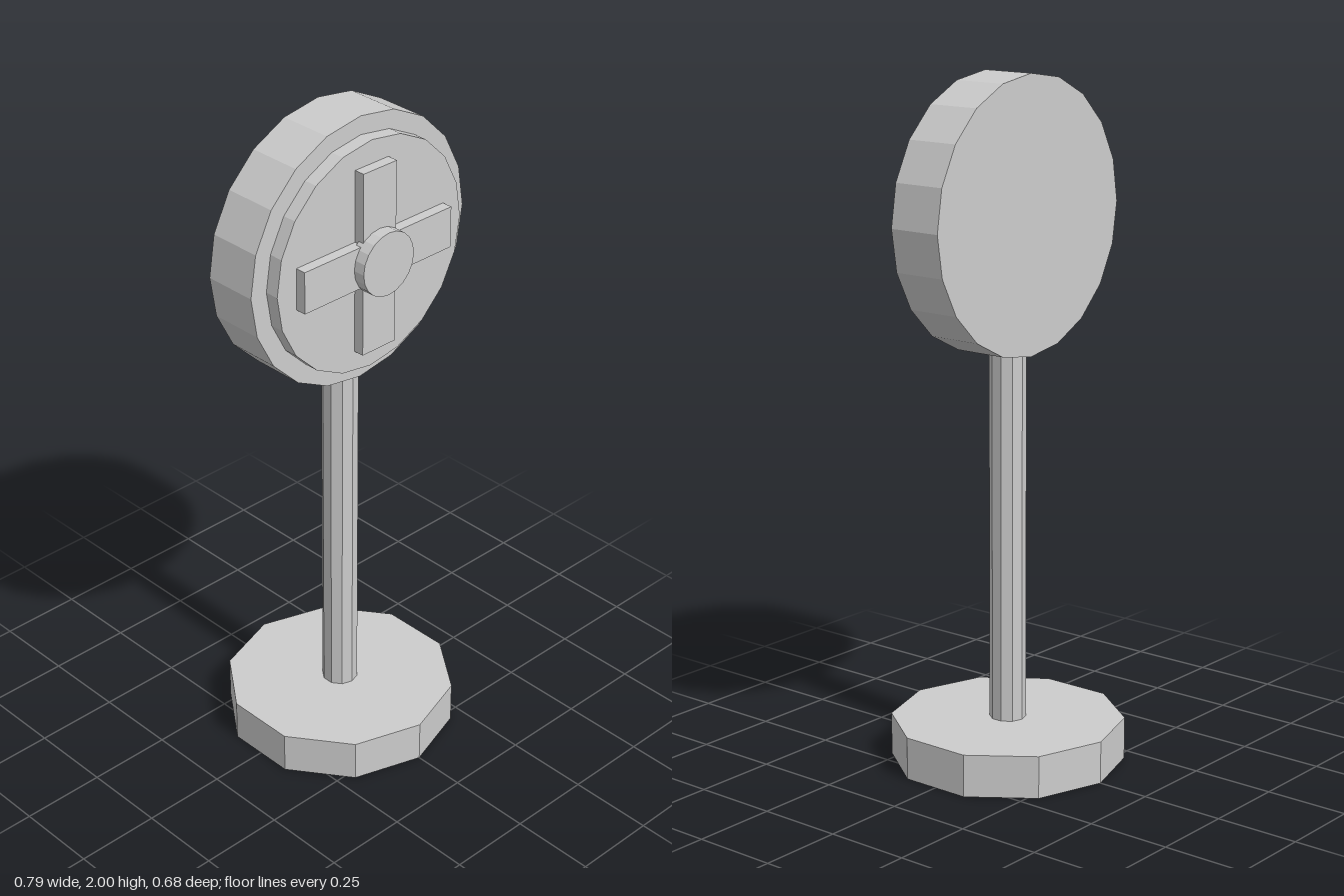
import * as THREE from 'three';

export function createModel() {
  const model = new THREE.Group();
  const grey = new THREE.MeshStandardMaterial({ color: 0xcccccc, flatShading: true });
  grey.name = 'light grey';
  const headY = 1.605;

  function add(name, geometry) {
    const mesh = new THREE.Mesh(geometry, grey);
    mesh.name = name;
    model.add(mesh);
  }

  // upright prism between two heights
  function post(name, radius, y0, y1) {
    add(name, new THREE.CylinderGeometry(radius, radius, y1 - y0, 10).translate(0, (y0 + y1) / 2, 0));
  }

  // disc facing the front, between two depths
  function disc(name, radius, z0, z1) {
    add(name, new THREE.CylinderGeometry(radius, radius, z1 - z0, 20)
      .rotateX(Math.PI / 2).translate(0, headY, (z0 + z1) / 2));
  }

  // bar on the face, between two depths
  function bar(name, width, height, z0, z1) {
    add(name, new THREE.BoxGeometry(width, height, z1 - z0).translate(0, headY, (z0 + z1) / 2));
  }

  // stand
  post('base', 0.342, 0, 0.125);
  post('pole', 0.053, 0.125, 1.23);

  // round head
  disc('headDrum', 0.396, -0.083, 0.08);
  disc('facePlate', 0.342, 0.08, 0.122);

  // cross and hub
  bar('verticalBar', 0.122, 0.547, 0.12, 0.154);
  bar('horizontalBar', 0.547, 0.124, 0.12, 0.154);
  disc('hub', 0.094, 0.136, 0.19);

  return model;
}
